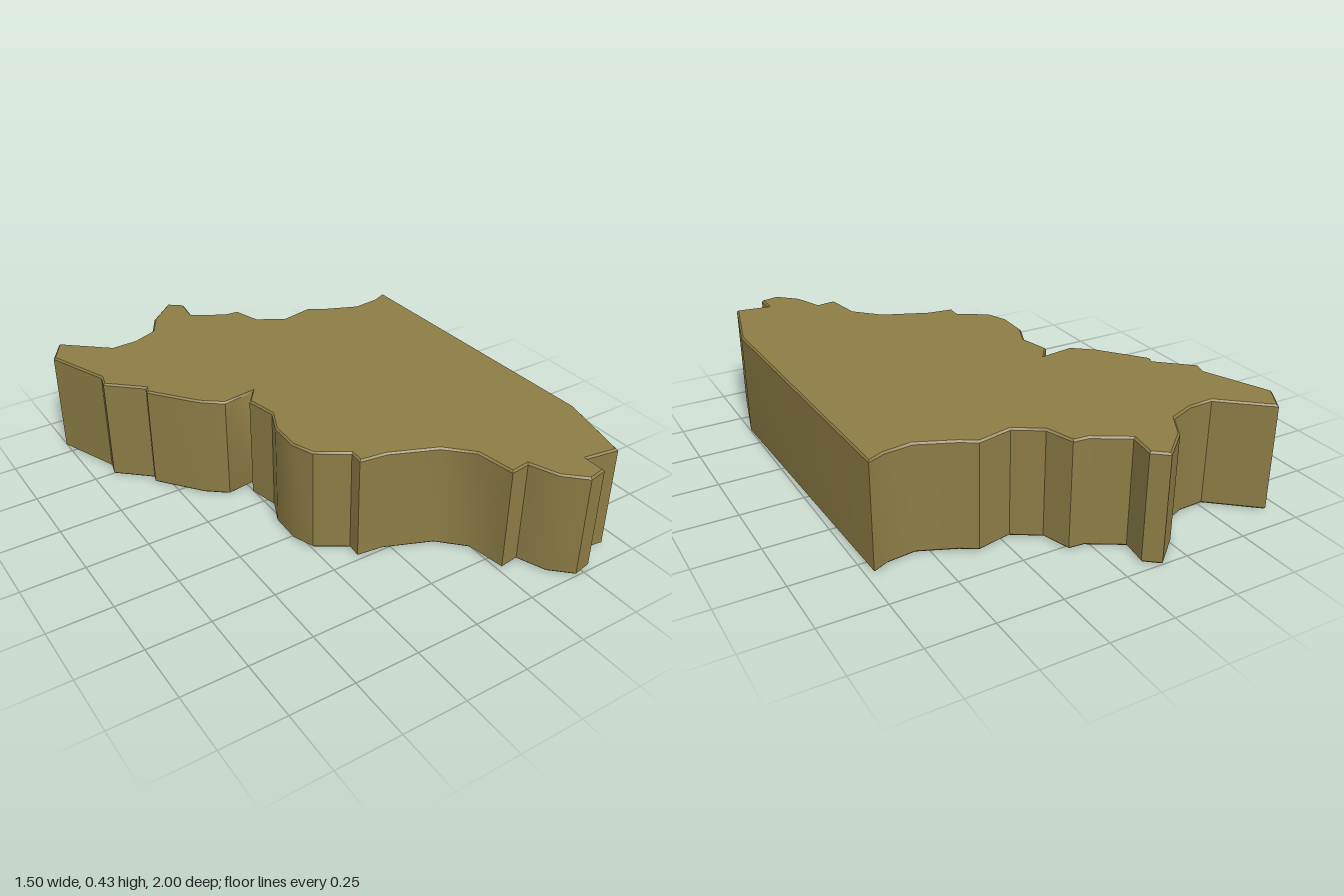
import * as THREE from 'three';
import { toCreasedNormals } from 'three/addons/utils/BufferGeometryUtils.js';

// Outline of the slab as [x, z] corners, starting at the back peak
const outline = [
  [-0.145, -1], [-0.09, -0.955], [-0.105, -0.85], [0.02, -0.775], [0.08, -0.77],
  [0.115, -0.66], [0.215, -0.597], [0.35, -0.625], [0.41, -0.588], [0.547, -0.53],
  [0.655, -0.542], [0.72, -0.57], [0.75, 0.615], [0.673, 0.915], [0.54, 0.895],
  [0.54, 0.98], [0.465, 0.995], [0.388, 0.92], [0.345, 0.81], [0.267, 0.82],
  [0.243, 0.665], [0.15, 0.57], [-0.03, 0.495], [-0.135, 0.482], [-0.13, 0.425],
  [-0.245, 0.35], [-0.277, 0.265], [-0.272, 0.14], [-0.23, 0.045], [-0.257, -0.075],
  [-0.207, -0.137], [-0.34, -0.115], [-0.42, -0.18], [-0.553, -0.35], [-0.543, -0.38],
  [-0.67, -0.495], [-0.655, -0.55], [-0.755, -0.8], [-0.69, -0.905], [-0.515, -0.755],
  [-0.415, -0.76], [-0.315, -0.8], [-0.257, -0.9],
];
const HEIGHT = 0.425;
const BEVEL = 0.007;

export function createModel() {
  const group = new THREE.Group();
  group.name = 'regionSlab';

  const olive = new THREE.MeshStandardMaterial({ color: 0x8c7c45 });
  olive.name = 'olive';

  // Slab with a fine chamfer on its top and bottom rims
  const shape = new THREE.Shape(outline.map(([x, z]) => new THREE.Vector2(x, -z)));
  const geometry = new THREE.ExtrudeGeometry(shape, {
    depth: HEIGHT - 2 * BEVEL,
    bevelEnabled: true,
    bevelThickness: BEVEL,
    bevelSize: BEVEL,
    bevelOffset: -BEVEL,
    bevelSegments: 1,
  });
  geometry.rotateX(-Math.PI / 2);
  geometry.translate(0, BEVEL, 0);

  // Gentle bends shade smoothly, sharp corners stay crisp
  const slab = new THREE.Mesh(toCreasedNormals(geometry, Math.PI / 5), olive);
  slab.name = 'slab';
  group.add(slab);
  return group;
}
